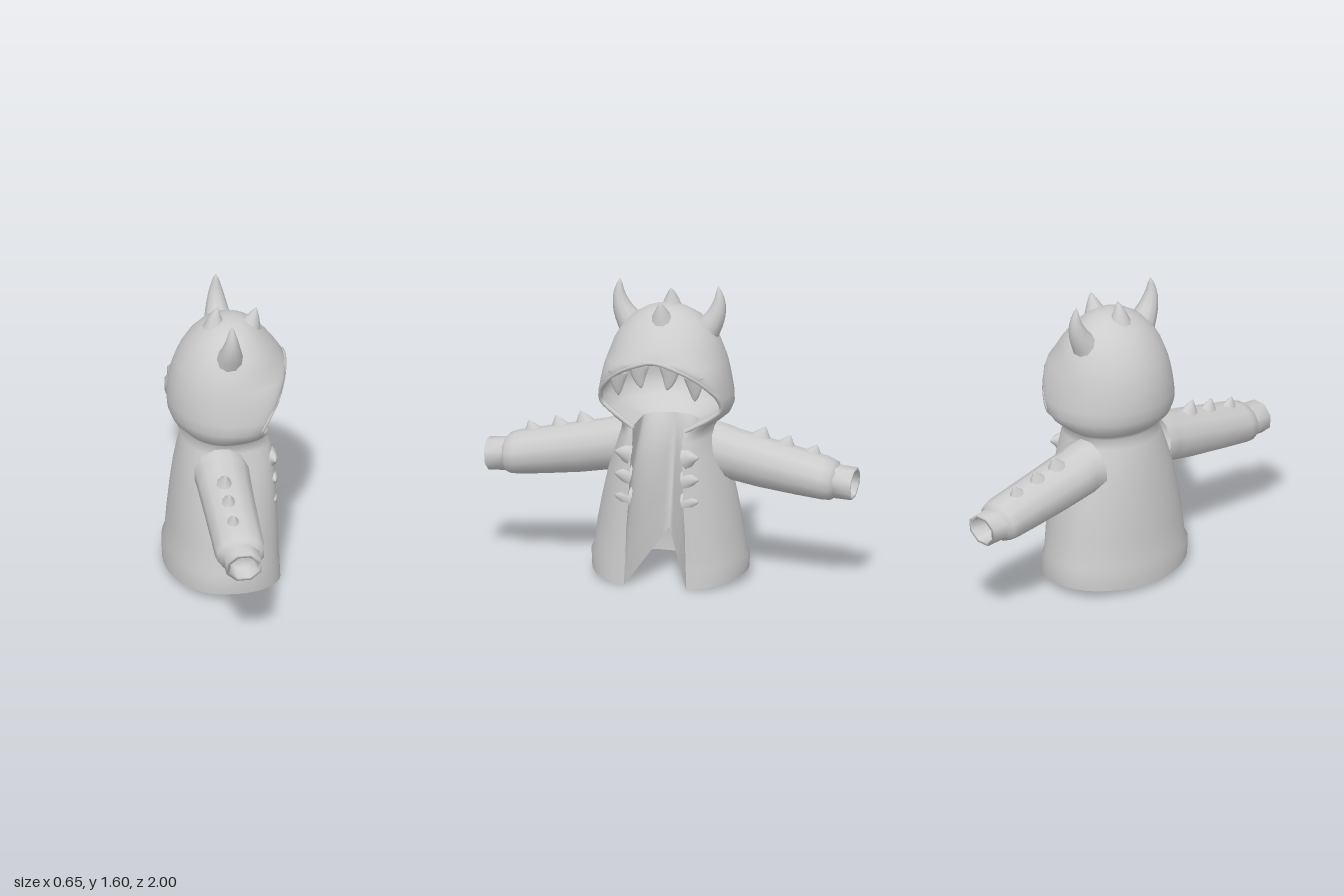
import * as THREE from 'three';
import { mergeVertices } from 'three/addons/utils/BufferGeometryUtils.js';

const V = (x, y, z) => new THREE.Vector3(x, y, z);
const fabric = new THREE.MeshStandardMaterial({ color: 0xcccccc, side: THREE.DoubleSide });
fabric.name = 'greyFabric';

// Weld, smooth and name a geometry
function smoothMesh(name, geometry) {
  const geo = mergeVertices(geometry, 1e-4);
  geo.computeVertexNormals();
  const mesh = new THREE.Mesh(geo, fabric);
  mesh.name = name;
  return mesh;
}

// Smooth surface through rows of points of equal length
function loft(name, rows) {
  const n = rows[0].length, pos = [], index = [];
  rows.forEach((row) => row.forEach((p) => pos.push(p.x, p.y, p.z)));
  for (let r = 0; r < rows.length - 1; r++) {
    for (let i = 0; i < n - 1; i++) {
      const a = r * n + i, b = a + n;
      index.push(a, a + 1, b, b, a + 1, b + 1);
    }
  }
  const geo = new THREE.BufferGeometry();
  geo.setAttribute('position', new THREE.Float32BufferAttribute(pos, 3));
  geo.setIndex(index);
  return smoothMesh(name, geo);
}

// Horizontal section open at the front (+x): rim -> side -> back, then mirrored
function section([y, xr, zr, xw, zw, xb]) {
  const [yr, ys, yb] = Array.isArray(y) ? y : [y, y, y];
  const half = [], N = 10;
  for (let i = 0; i <= N; i++) {
    const t = i / N, a = t * Math.PI / 2;
    half.push(V(xw + (xr - xw) * Math.cos(a), yr + (ys - yr) * t, zr + (zw - zr) * Math.sin(a)));
  }
  for (let i = 1; i <= N; i++) {
    const a = i / N * Math.PI / 2, c = Math.cos(a);
    half.push(V(xw + (xb - xw) * Math.sin(a), ys + (yb - ys) * (1 - c), zw * c));
  }
  return [...half, ...half.slice(0, -1).reverse().map((p) => V(p.x, p.y, -p.z))];
}

// Tapered, optionally curved spike along a few points; flat squashes it in x
function spike(name, points, radius, power = 0.8, flat = 1) {
  const curve = new THREE.CatmullRomCurve3(points.map((p) => V(...p)));
  const seg = 8, sides = 10;
  const geo = new THREE.TubeGeometry(curve, seg, radius, sides);
  const p = geo.attributes.position, v = V(0, 0, 0);
  for (let i = 0; i < p.count; i++) {
    const t = Math.floor(i / (sides + 1)) / seg;
    const c = curve.getPointAt(t);
    v.fromBufferAttribute(p, i).sub(c).multiplyScalar(Math.pow(1 - t, power));
    v.x *= flat;
    v.add(c);
    p.setXYZ(i, v.x, v.y, v.z);
  }
  geo.deleteAttribute('uv');
  geo.deleteAttribute('normal');
  return smoothMesh(name, geo);
}

// Ring around the sleeve axis (z), leaning slightly
function ring(z, cy, ry, rx, s, sides) {
  return Array.from({ length: sides + 1 }, (_, i) => {
    const a = ((i % sides) + 0.5) / sides * Math.PI * 2;
    const dy = ry * Math.sin(a);
    return V(-0.05 + rx * Math.cos(a), cy + dy, s * (z + 0.08 * (dy - 0.08)));
  });
}

// Rows: height (or rim, side and back heights), rim x, rim z, side x, side z, back x
const BODY = [
  [[0.005, 0.05, 0.027], 0.27, 0.17, -0.04, 0.415, -0.32],
  [0.13, 0.265, 0.165, -0.04, 0.42, -0.322],
  [0.16, 0.262, 0.163, -0.04, 0.402, -0.308],
  [0.3, 0.26, 0.16, -0.04, 0.385, -0.297],
  [0.45, 0.255, 0.15, -0.04, 0.355, -0.283],
  [0.6, 0.25, 0.145, -0.04, 0.32, -0.265],
  [0.7, 0.24, 0.14, -0.04, 0.285, -0.248],
  [0.8, 0.225, 0.135, -0.03, 0.25, -0.228],
  [0.85, 0.205, 0.14, -0.02, 0.24, -0.21],
];
const HOOD = [
  BODY[8],
  [0.88, 0.18, 0.2, 0, 0.285, -0.235],
  [0.92, 0.16, 0.27, 0.02, 0.33, -0.275],
  [0.97, 0.155, 0.325, 0.04, 0.355, -0.295],
  [1.03, 0.185, 0.32, 0.04, 0.352, -0.3],
  [1.1, 0.235, 0.275, 0.04, 0.34, -0.295],
  [1.16, 0.275, 0.21, 0.04, 0.328, -0.285],
  [1.21, 0.305, 0.12, 0.03, 0.313, -0.27],
  [1.245, 0.32, 0, 0.03, 0.3, -0.258],
  [1.3, 0.285, 0, 0.03, 0.28, -0.232],
  [1.36, 0.24, 0, 0.03, 0.245, -0.195],
  [1.42, 0.185, 0, 0.03, 0.19, -0.14],
  [1.46, 0.14, 0, 0.03, 0.125, -0.08],
  [1.48, 0.1, 0, 0.03, 0.075, -0.03],
  [1.49, 0.03, 0, 0.03, 0, 0.03],
];

export function createModel() {
  const g = new THREE.Group();
  g.name = 'hornedHoodedJacket';

  // Outer shell, body running smoothly into the hood
  g.add(loft('jacketAndHood', [...BODY, ...HOOD.slice(1)].map(section)));

  // Hood inside, sharing the rim and funnelling in at the neck
  g.add(loft('hoodLining', HOOD.map(([y, xr, zr, xw, zw, xb]) => {
    const above = y > 1.25, inset = 0.03 + Math.max(0, 0.97 - y) * 0.5;
    return section([above ? y - 0.025 : y, above ? Math.max(xr - 0.03, xw) : xr, zr, xw,
      Math.max(zr, zw - inset), Math.min(xb + inset, xw)]);
  })));

  // Body lining: a round neck flattening into two panels that meet in a V at the hem
  g.add(loft('bodyLining', BODY.map(([y, xr, zr], i) => {
    const yr = i ? y : 0.005, t = (yr - 0.005) / 0.845, k = t * t, xb = -0.12 * t;
    const row = section([[yr, yr, 0.26 + 0.59 * t], xr, zr, xr - (xr + 0.02) * k,
      zr + (0.15 - zr) * k, xb]);
    row.forEach((p) => {
      const straight = xb + (xr - xb) * Math.min(1, Math.abs(p.z) / zr);
      p.x = straight + (p.x - straight) * k;
    });
    return row;
  })));

  // Rolled hood rim
  const rim = HOOD.slice(0, 9).map((r) => V(r[1] - 0.006, r[0], r[2]));
  const rimPath = [...rim, ...rim.slice(0, -1).reverse().map((p) => V(p.x, p.y, -p.z))];
  const lip = new THREE.Mesh(
    new THREE.TubeGeometry(new THREE.CatmullRomCurve3(rimPath), 64, 0.013, 6), fabric);
  lip.name = 'hoodRim';
  g.add(lip);

  // Crest bumps on top of the hood
  g.add(spike('crestBack', [[-0.05, 1.42, 0], [-0.045, 1.5, 0], [-0.03, 1.56, 0]], 0.07, 0.85));
  g.add(spike('crestFront', [[0.13, 1.41, 0], [0.155, 1.48, 0], [0.172, 1.54, 0]], 0.07, 0.85));

  for (const s of [1, -1]) {
    const side = s > 0 ? 'Left' : 'Right';

    // Sleeve, flared at the shoulder and closing in over the cuff
    g.add(loft('sleeve' + side, [
      [0.235, 0.69, 0.148, 0.146], [0.3, 0.685, 0.14, 0.143], [0.36, 0.67, 0.135, 0.141],
      [0.5, 0.643, 0.133, 0.137], [0.7, 0.608, 0.123, 0.134], [0.84, 0.585, 0.114, 0.134],
      [0.885, 0.576, 0.104, 0.128], [0.905, 0.57, 0.082, 0.098],
    ].map(([z, cy, ry, rx]) => ring(z, cy, ry, rx, s, 12))));

    // Hollow octagonal cuff
    g.add(loft('cuff' + side, [
      [0.88, 0.572, 0.088, 0.102], [1.0, 0.565, 0.086, 0.1], [1.0, 0.565, 0.07, 0.08],
      [0.91, 0.57, 0.062, 0.07], [0.9, 0.57, 0, 0],
    ].map(([z, cy, ry, rx]) => ring(z, cy, ry, rx, s, 8))));

    // Spikes along the sleeve top
    for (const [z, y] of [[0.485, 0.832], [0.62, 0.795], [0.765, 0.757]]) {
      g.add(spike('sleeveSpike' + side,
        [[-0.07, y - 0.11, s * (z - 0.02)], [-0.07, y - 0.05, s * z], [-0.07, y, s * (z + 0.02)]],
        0.095, 0.95, 0.7));
    }

    // Curved horn rooted in the hood
    g.add(spike('horn' + side,
      [[0, 1.35, s * 0.2], [0, 1.43, s * 0.249], [0, 1.51, s * 0.272], [0, 1.6, s * 0.266]], 0.075, 0.75));

    // Flat teeth hanging inside the hood rim
    g.add(spike('innerTooth' + side,
      [[0.284, 1.215, s * 0.085], [0.284, 1.16, s * 0.083], [0.287, 1.095, s * 0.07]], 0.057, 0.65, 0.45));
    g.add(spike('outerTooth' + side,
      [[0.25, 1.165, s * 0.205], [0.245, 1.1, s * 0.21], [0.238, 1.03, s * 0.208]], 0.055, 0.65, 0.45));

    // Pointed trim beside the front opening
    for (const y of [0.72, 0.6, 0.48]) {
      g.add(spike('frontTrim' + side,
        [[0.218, y - 0.01, s * 0.158], [0.232, y, s * 0.19], [0.238, y + 0.005, s * 0.232]], 0.06, 0.9, 0.75));
    }
  }
  return g;
}
